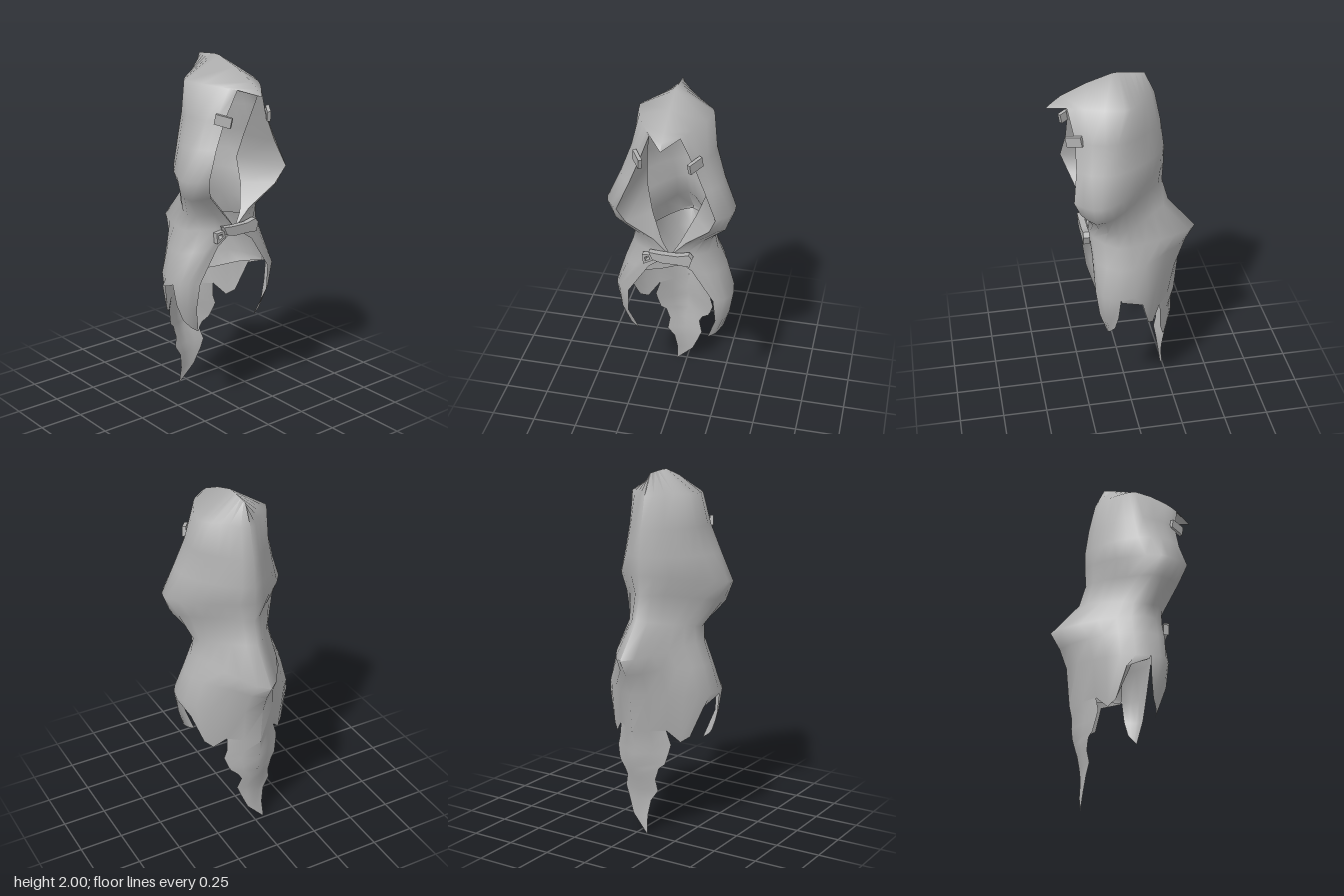
import * as THREE from 'three';
import { mergeGeometries, toCreasedNormals } from 'three/addons/utils/BufferGeometryUtils.js';

const cloth = new THREE.MeshStandardMaterial({ color: 0xb0b0b0, side: THREE.DoubleSide });
cloth.name = 'grey cloth';

// Skin a list of equally long rows of [x, y, z] points
function loft(rows) {
  const n = rows[0].length, index = [];
  for (let r = 0; r < rows.length - 1; r++)
    for (let c = 0; c < n - 1; c++) {
      const a = r * n + c, b = a + n;
      index.push(a, b, a + 1, a + 1, b, b + 1);
    }
  const geo = new THREE.BufferGeometry();
  geo.setAttribute('position', new THREE.Float32BufferAttribute(rows.flat(2), 3));
  geo.setIndex(index);
  return geo;
}
const flip = ([x, y, z]) => [-x, y, z];
const mirrored = (rows) => rows.map((row) => row.map(flip).reverse());
// Complete a half row that ends on the centre line
const whole = (half) => [...half, ...half.slice(0, -1).reverse().map(flip)];
// Add a rounded midpoint between neighbouring points
function rounded(row) {
  const curve = new THREE.CatmullRomCurve3(row.map((p) => new THREE.Vector3(...p)));
  return curve.getPoints((row.length - 1) * 2).map((p) => p.toArray());
}

export function createModel() {
  const group = new THREE.Group();
  const add = (name, geo) => {
    const mesh = new THREE.Mesh(geo, cloth);
    mesh.name = name;
    group.add(mesh);
    return mesh;
  };

  // Hood and shoulder cape: half rows from the front edge round the side to the back
  const hood = [
    [[0, 1.83, .41], [0, 1.895, .33], [0, 2, .06], [0, 2, 0], [0, 1.995, -.06], [0, 1.99, -.11]],
    [[.08, 1.86, .31], [.13, 1.87, .23], [.2, 1.88, .03], [.16, 1.88, -.035], [.085, 1.885, -.1], [0, 1.87, -.165]],
    [[.14, 1.7, .28], [.2, 1.7, .2], [.225, 1.7, .07], [.185, 1.7, -.03], [.1, 1.7, -.125], [0, 1.7, -.2]],
    [[.2, 1.55, .285], [.26, 1.55, .215], [.275, 1.55, .1], [.215, 1.55, -.03], [.12, 1.55, -.14], [0, 1.55, -.22]],
    [[.265, 1.4, .31], [.335, 1.39, .22], [.345, 1.4, .14], [.25, 1.42, -.02], [.14, 1.44, -.13], [0, 1.45, -.22]],
    [[.225, 1.3, .27], [.3, 1.28, .2], [.295, 1.3, .1], [.2, 1.32, -.02], [.1, 1.34, -.125], [0, 1.34, -.213]],
    [[.09, 1.17, .21], [.175, 1.17, .17], [.225, 1.15, .07], [.18, 1.17, -.045], [.1, 1.19, -.15], [0, 1.21, -.25]],
  ];
  const cape = [
    [[0, 1.07, .2], [.13, 1.09, .195], [.24, 1.07, .07], [.2, 1.06, -.08], [.115, 1.04, -.27], [0, 1.02, -.407]],
    [[.12, .985, .2], [.2, .97, .19], [.285, .95, .07], [.25, .95, -.08], [.135, .95, -.22], [0, .93, -.355]],
    [[.24, .8, .2], [.3, .8, .17], [.335, .79, .075], [.29, .8, -.08], [.17, .81, -.2], [0, .82, -.315]],
  ];
  const shell = [...hood, ...cape].map((half) => rounded(whole(half)));
  const hem = shell.at(-1);

  // Hanging front strip
  const strip = [
    hem.slice(0, 5),
    rounded([[.25, .65, .18], [.29, .65, .15], [.315, .66, .085]]),
    rounded([[.2, .49, .13], [.245, .52, .125], [.285, .57, .1]]),
  ];

  // Torn rear apron: its lower edge zigzags
  const apron = [
    hem.slice(4, 17),
    whole([[.333, .775, .07], [.31, .73, -.05], [.25, .56, -.095], [.21, .53, -.13], [.15, .6, -.18],
      [.075, .6, -.2375], [0, .6, -.295]]),
  ];

  // Ragged tail: y, left edge x, right edge x, centre z
  const tail = [
    [.6, -.15, .15, -.295], [.52, -.175, .155, -.288], [.47, -.165, .17, -.282], [.41, -.15, .15, -.275],
    [.385, -.12, .137, -.27], [.355, -.112, .1, -.264], [.32, -.1, .08, -.255], [.25, -.11, .1, -.238],
    [.19, -.07, .077, -.228], [.1, -.055, .04, -.23], [0, -.06, -.056, -.237],
  ].map(([y, l, r, z]) => [0, .25, .5, .75, 1].map((t) => {
    const x = r + (l - r) * t;
    return [x, y, z + Math.abs(x) * y * 1.278];
  }));

  const parts = [shell, strip, mirrored(strip), apron, tail].map(loft);
  add('hoodedCloak', toCreasedNormals(mergeGeometries(parts), 1.3));

  // Hood lining turned inwards from the front edge
  const face = [...hood.slice(1), cape[0]].map((row) => row[0]);
  const inner = [[.082, 1.85, .3], [.12, 1.7, .19], [.147, 1.55, .09], [.172, 1.4, 0], [.12, 1.28, .1], [.05, 1.15, .18], [0, 1.07, .195]];
  const lining = inner.map((p, i) => [p, face[i]]);
  add('hoodLiningLeft', toCreasedNormals(loft(lining), 1));
  add('hoodLiningRight', toCreasedNormals(loft(mirrored(lining)), 1));

  // Short lining just inside the back of the cape
  const inset = ([x, y, z]) => [x * .94, y, z * .94];
  const capeLining = [
    ...cape.map((row) => row.slice(2).map(inset)),
    [[.315, .775, .065], [.26, .745, -.065], [.145, .705, -.17], [0, .68, -.28]],
  ];
  add('capeLining', toCreasedNormals(loft(capeLining.map((half) => rounded(whole(half)))), 1.3));

  // Hood clips
  for (const s of [1, -1]) {
    const clip = add(s > 0 ? 'hoodClipLeft' : 'hoodClipRight', new THREE.BoxGeometry(.09, .055, .02));
    clip.position.set(s * .152, 1.703, .285);
    clip.rotation.set(0, s * .98, s * .2, 'YXZ');
  }

  // Chest clasp: bowed strap and a buckle
  const plate = (points, depth, hole) => {
    const shape = new THREE.Shape(points.map((p) => new THREE.Vector2(...p)));
    if (hole) shape.holes.push(new THREE.Path(hole.map((p) => new THREE.Vector2(...p))));
    return new THREE.ExtrudeGeometry(shape, { depth, bevelEnabled: false });
  };
  add('claspStrap', plate([[-.11, 1.105], [-.09, 1.06], [-.04, 1.045], [.05, 1.045], [.115, 1.04], [.13, 1.09],
    [.11, 1.115], [.05, 1.1], [-.05, 1.1]], .035)).position.z = .21;
  add('claspBuckle', plate([[-.15, 1.075], [-.145, 1.015], [-.09, 1.045], [-.1, 1.08]], .03,
    [[-.137, 1.062], [-.113, 1.066], [-.107, 1.05], [-.133, 1.035]])).position.z = .2;

  return group;
}
